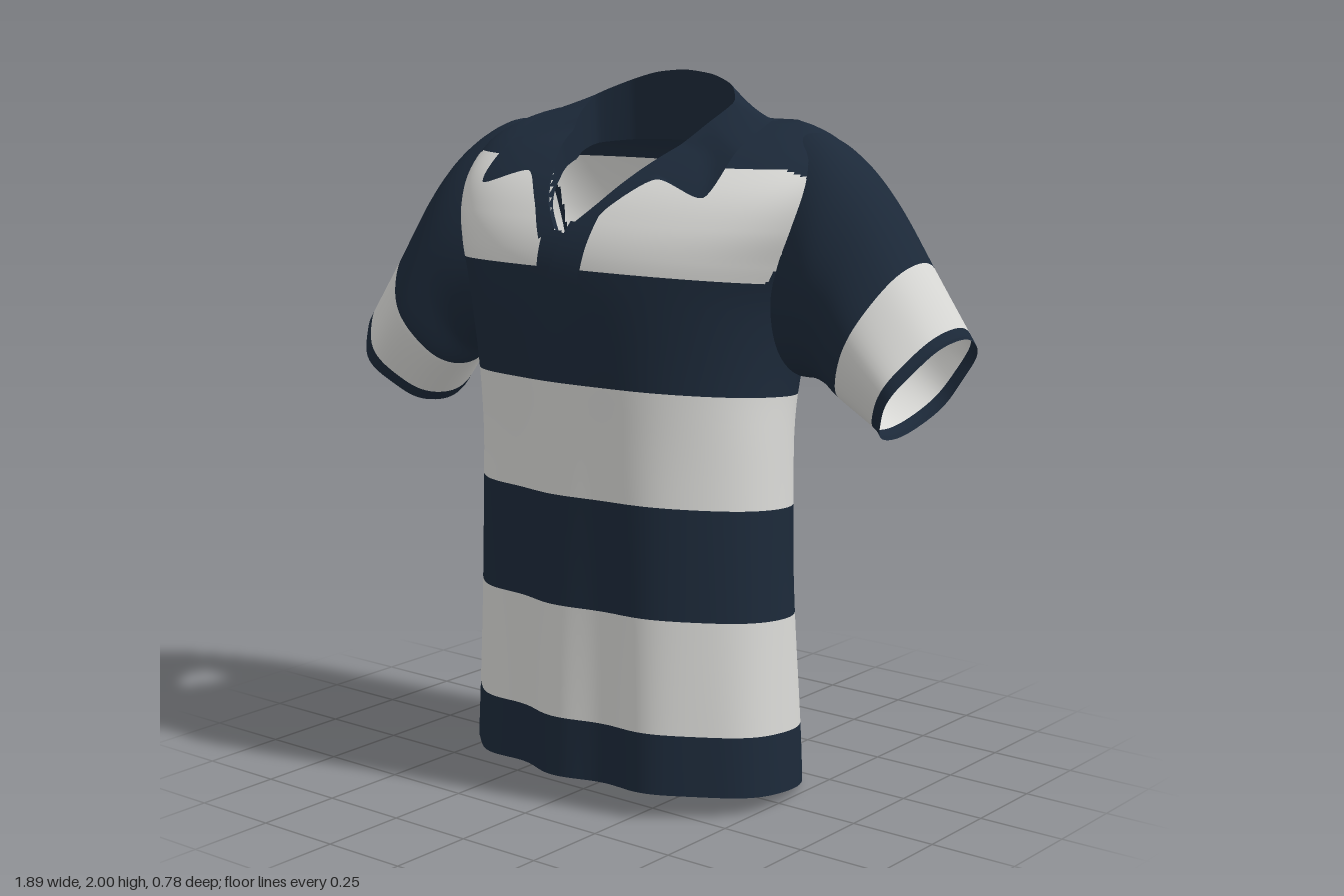
import * as THREE from 'three';

const V = (x, y, z) => new THREE.Vector3(x, y, z);
const { lerp, smoothstep } = THREE.MathUtils;
const clamp01 = (t) => Math.min(1, Math.max(0, t));

const navy = new THREE.MeshStandardMaterial({ color: 0x1c2939, side: THREE.DoubleSide });
navy.name = 'navy cloth';
const pale = new THREE.MeshStandardMaterial({ color: 0xd9d9d6, side: THREE.DoubleSide });
pale.name = 'pale cloth';

// Cloth sheet from rows of points; paint() gives 0 navy, 1 pale or -1 for a hole
function sheet(name, rows, closed, paint = () => 0) {
  const cols = rows[0].length;
  const lists = [[], []];
  const mid = V(0, 0, 0);
  for (let i = 0; i < rows.length - 1; i++) {
    for (let j = 0; j < (closed ? cols : cols - 1); j++) {
      const k = (j + 1) % cols;
      mid.copy(rows[i][j]).add(rows[i][k]).add(rows[i + 1][j]).add(rows[i + 1][k]).multiplyScalar(0.25);
      const colour = paint(mid, i, j);
      if (colour < 0) continue;
      const a = i * cols + j, b = i * cols + k, c = a + cols, d = b + cols;
      lists[colour].push(a, c, b, b, c, d);
    }
  }
  const geo = new THREE.BufferGeometry().setFromPoints(rows.flat());
  geo.setIndex([...lists[0], ...lists[1]]);
  geo.addGroup(0, lists[0].length, 0);
  geo.addGroup(lists[0].length, lists[1].length, 1);
  geo.computeVertexNormals();
  const mesh = new THREE.Mesh(geo, [navy, pale]);
  mesh.name = name;
  return mesh;
}

// Torso profile: level, half width, front z, back z
const PROFILE = [
  [0.036, 0.515, 0.368, -0.31], [0.5, 0.49, 0.366, -0.33], [1.0, 0.47, 0.37, -0.352],
  [1.2, 0.465, 0.375, -0.365], [1.4, 0.485, 0.372, -0.38], [1.5, 0.52, 0.355, -0.385],
  [1.6, 0.56, 0.31, -0.378], [1.7, 0.58, 0.235, -0.355], [1.78, 0.57, 0.13, -0.325],
  [1.83, 0.53, 0.03, -0.285], [1.865, 0.46, -0.08, -0.22], [1.88, 0.41, -0.16, -0.161],
];

// Smooth (Hermite) lookup in the profile
function profile(s) {
  const P = PROFILE, n = P.length;
  let i = 0;
  while (i < n - 2 && s > P[i + 1][0]) i++;
  const slope = (m, c) => {
    const a = P[Math.max(0, m - 1)], b = P[Math.min(n - 1, m + 1)];
    return (b[c] - a[c]) / (b[0] - a[0]);
  };
  const len = P[i + 1][0] - P[i][0], t = clamp01((s - P[i][0]) / len);
  return [1, 2, 3].map((c) =>
    (1 + 2 * t) * (1 - t) ** 2 * P[i][c] + t * (1 - t) ** 2 * len * slope(i, c) +
    t * t * (3 - 2 * t) * P[i + 1][c] + t * t * (t - 1) * len * slope(i + 1, c));
}

// Stripes sit lower at the back; the chest turns slightly; chest, shoulder blades and back hem are squarer
const tilt = (s) => 0.115 * (1 - smoothstep(s, 1.456, 1.8));
const turn = (s) => -0.045 * smoothstep(s, 0.9, 1.5);
const roundness = (s, front) => (front
  ? 2.1 + 0.4 * smoothstep(s, 0.9, 1.5)
  : 2.1 + 0.9 * smoothstep(s, 1, 1.6) + 0.45 * (1 - smoothstep(s, 0, 0.7)));

function torsoPoint(s, a) {
  const [w, zf, zb] = profile(s);
  const front = Math.sin(a) >= 0;
  const pow = (v) => Math.sign(v) * Math.abs(v) ** (2 / roundness(s, front));
  const x = w * pow(Math.cos(a));
  let z = (zf + zb) / 2 + ((zf - zb) / 2) * pow(Math.sin(a)) + turn(s) * x;
  // Soft hanging folds
  const fold = clamp01((1.4 - s) / 1.4) * Math.sin(a);
  z += fold * (front ? 0.02 * Math.cos(x * 21.5) : 0.006 * Math.cos(x * 15));
  return V(x, Math.max(0, s + tilt(s) * z), z);
}

// Depth of the torso surface at a given x and y
function surfaceZ(x, y, front) {
  let z = 0;
  for (let i = 0; i < 4; i++) {
    const s = y - tilt(y) * z, n = roundness(s, front);
    const [w, zf, zb] = profile(s);
    const r = Math.max(0, 1 - Math.min(1, Math.abs(x) / w) ** n) ** (1 / n);
    z = (zf + zb) / 2 + (front ? 1 : -1) * ((zf - zb) / 2) * r + turn(s) * x;
  }
  return z;
}

// Half of the collar: roll line (also the neck opening) and outer edge, from back to front
const ROLL = [[0, 2, -0.21], [0.1, 1.99, -0.207], [0.18, 1.965, -0.185], [0.245, 1.925, -0.11],
  [0.23, 1.875, -0.02], [0.19, 1.81, 0.07], [0.15, 1.76, 0.15], [0.085, 1.67, 0.25], [0.02, 1.6, 0.33]];
const EDGE = [[0, 1.82, -0.3], [0.15, 1.825, -0.29], [0.28, 1.845, -0.24], [0.38, 1.88, -0.1],
  [0.395, 1.81, 0.08], [0.375, 1.695, 0.2], [0.22, 1.735, 0.2], [0.125, 1.66, 0.29], [0.06, 1.57, 0.335]];

function wholeCurve(half) {
  const right = half.map((p) => V(...p));
  const left = half.slice(1).map(([x, y, z]) => V(-x, y, z)).reverse();
  return new THREE.CatmullRomCurve3([...left, ...right], false, 'catmullrom', 0.35).getPoints(128);
}

function insidePolygon(poly, p) {
  let inside = false;
  for (let i = 0, j = poly.length - 1; i < poly.length; j = i++) {
    const a = poly[i], b = poly[j];
    if ((a.z > p.z) !== (b.z > p.z) && p.x < ((b.x - a.x) * (p.z - a.z)) / (b.z - a.z) + a.x) inside = !inside;
  }
  return inside;
}

function makeTorso(roll) {
  const STRIPES = [0.036, 0.206, 0.526, 0.836, 1.146, 1.456, 1.88];
  const COLS = 280;
  // The cut edge stays hidden under the collar
  const neck = roll.map((p) => V(p.x + Math.sign(p.x) * 0.022, 0, p.z < -0.15 ? p.z - 0.025 : p.z));
  const levels = [], band = [];
  STRIPES.slice(0, -1).forEach((s, b) => {
    const n = b === 5 ? 70 : 8;
    for (let i = 0; i < n; i++) {
      levels.push(lerp(s, STRIPES[b + 1], i / n));
      band.push(b);
    }
  });
  levels.push(1.88);
  const rows = levels.map((s) =>
    Array.from({ length: COLS }, (_, j) => torsoPoint(s, (j / COLS) * Math.PI * 2)));
  return sheet('torso', rows, true, (p, i, j) => {
    const ax = Math.abs(p.x);
    // Neck opening, armholes and a side slit at the hem
    if (p.y > 1.55 && insidePolygon(neck, p)) return -1;
    const armZ = p.x > 0 ? -0.12 : -0.07;
    if (ax > 0.46 && ((p.y - 1.51) / 0.27) ** 2 + ((p.z - armZ) / 0.15) ** 2 < 0.9) return -1;
    if (i < 4 && j === COLS / 2 - 3) return -1;
    if (band[i] < 5) return band[i] % 2;
    // Chest and back panels stop at the yoke, armhole seams and placket
    const back = p.z < -0.1;
    const top = (back ? 1.73 : 1.768) - 4 * Math.max(0, ax - 0.48) ** 2;
    const seam = (back && p.x < 0 ? 0.53 : 0.49) + (p.y - 1.46) * 0.5;
    const placket = p.z > 0 && p.x > -0.055 && p.x < 0.09;
    return p.y < top && ax < seam && !placket ? 1 : 0;
  });
}

// Collar leaf lies on the shoulders; the stand drops inside the neck
function makeCollar(roll, edge) {
  const collar = new THREE.Group();
  collar.name = 'collar';
  const leaf = Array.from({ length: 13 }, (_, i) => roll.map((p, j) => {
    const q = p.clone().lerp(edge[j], i / 12);
    if (q.y < 1.875) {
      if (q.z > -0.13) q.z = Math.max(q.z, surfaceZ(q.x, q.y, true) + 0.014);
      else q.z = Math.min(q.z, surfaceZ(q.x, q.y, false) - 0.012);
    }
    return q;
  }));
  const stand = [0, 0.5, 1].map((t) => leaf[0].map((p) => {
    const back = clamp01((p.y - 1.6) / 0.4);
    return V(p.x * (1 + 0.04 * t), p.y - t * (0.02 + 0.18 * back * back), p.z - 0.025 * t);
  }));
  collar.add(sheet('collarLeaf', leaf, false), sheet('collarStand', stand, false));
  return collar;
}

// Overlapping front flap below the collar
function makePlacket() {
  const rows = Array.from({ length: 13 }, (_, i) => Array.from({ length: 7 }, (_, j) => {
    const y = lerp(1.42, 1.62, i / 12);
    const x = lerp(lerp(-0.025, 0.02, i / 12), 0.088, j / 6);
    return V(x, y, surfaceZ(x, y, true) + 0.008);
  }));
  return sheet('placket', rows, false);
}

// Sleeve sections: top point, bottom point, half depth
const LEFT = [
  [[0.41, 1.84, -0.13], [0.42, 1.27, -0.12], 0.15], [[0.52, 1.848, -0.14], [0.48, 1.2, -0.11], 0.178],
  [[0.62, 1.795, -0.14], [0.56, 1.195, -0.1], 0.19], [[0.72, 1.69, -0.145], [0.61, 1.18, -0.095], 0.185],
  [[0.83, 1.525, -0.15], [0.66, 1.15, -0.09], 0.185], [[0.93, 1.36, -0.165], [0.775, 1.085, -0.09], 0.18],
  [[0.945, 1.33, -0.17], [0.8, 1.06, -0.09], 0.18]];
const RIGHT = [
  [[-0.41, 1.84, -0.11], [-0.42, 1.27, -0.08], 0.14], [[-0.52, 1.845, -0.09], [-0.48, 1.2, -0.06], 0.165],
  [[-0.62, 1.78, -0.05], [-0.56, 1.2, -0.04], 0.185], [[-0.71, 1.665, -0.02], [-0.61, 1.18, -0.02], 0.19],
  [[-0.82, 1.47, 0], [-0.66, 1.12, 0], 0.2], [[-0.925, 1.3, 0.015], [-0.735, 1.025, 0], 0.2],
  [[-0.945, 1.27, 0.015], [-0.755, 1.0, 0], 0.2]];

function makeSleeve(name, sections) {
  const curve = (pick) => new THREE.CatmullRomCurve3(sections.map((s) => V(...pick(s))), false, 'catmullrom');
  const top = curve((s) => s[0]), low = curve((s) => s[1]), depth = curve((s) => [0, 0, s[2]]);
  const STEP = 10, n = STEP * (sections.length - 1), COLS = 72;
  const rows = Array.from({ length: n + 1 }, (_, i) => {
    const t = i / n, T = top.getPoint(t), B = low.getPoint(t), h = depth.getPoint(t).z;
    return Array.from({ length: COLS }, (_, j) => {
      const a = (j / COLS) * Math.PI * 2;
      const p = B.clone().lerp(T, (1 + Math.cos(a)) / 2);
      // Creases deepen towards the cuff
      p.z += h * Math.sin(a) * (1 + 0.05 * t * t * Math.sin(5 * a));
      return p;
    });
  });
  // Starts at the armhole seam; pale band above a narrow navy cuff
  return sheet(name, rows, true, (p, i) => {
    const hidden = p.z < surfaceZ(p.x, p.y, true) - 0.02 && p.z > surfaceZ(p.x, p.y, false) + 0.02;
    if (hidden) return -1;
    return Math.floor(i / STEP) === 4 ? 1 : 0;
  });
}

export function createModel() {
  const shirt = new THREE.Group();
  shirt.name = 'shirt';
  const roll = wholeCurve(ROLL), edge = wholeCurve(EDGE);
  shirt.add(
    makeTorso(roll),
    makeCollar(roll, edge),
    makePlacket(),
    makeSleeve('leftSleeve', LEFT),
    makeSleeve('rightSleeve', RIGHT),
  );
  return shirt;
}
